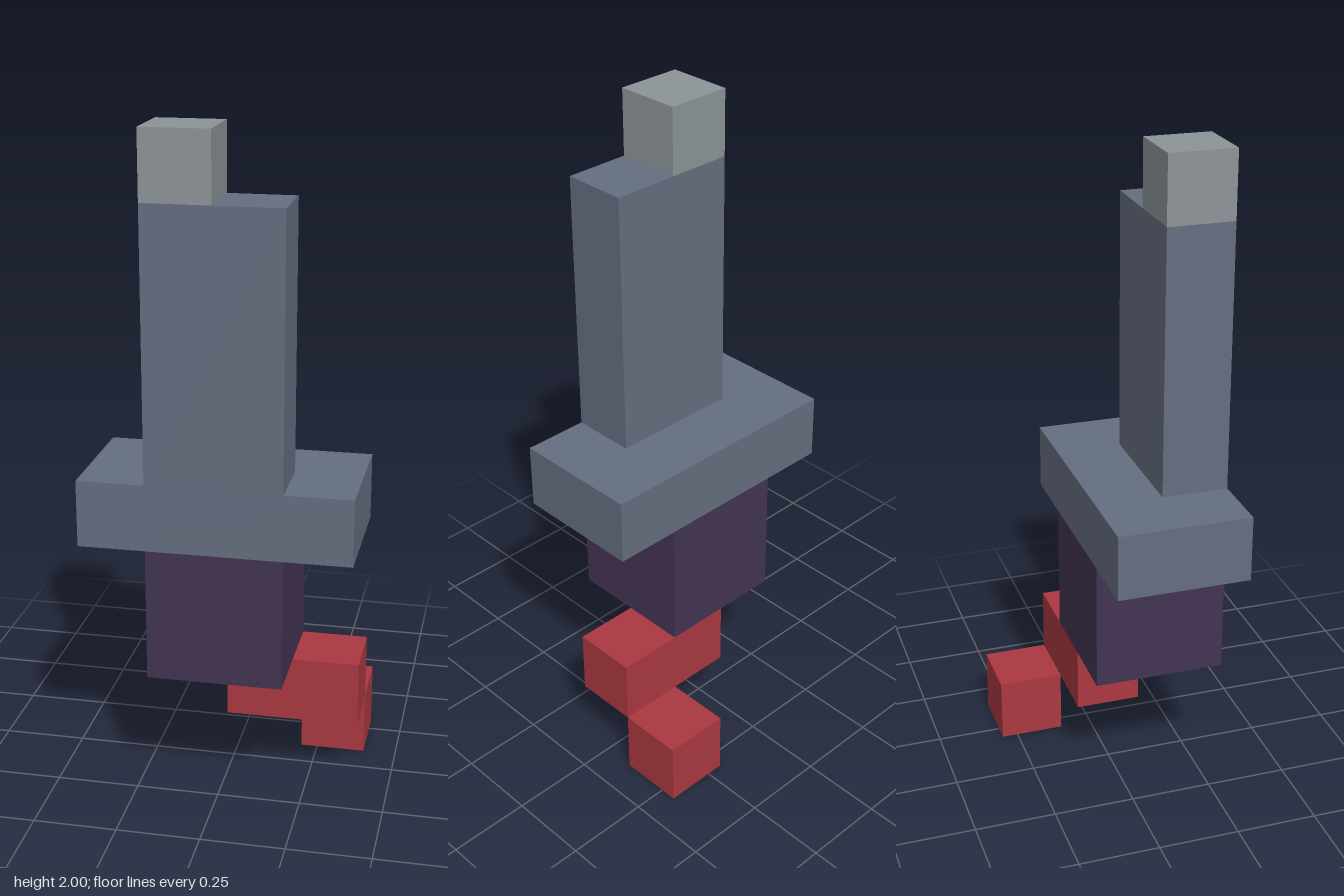
import * as THREE from 'three';

const paint = (name, color) => {
  const m = new THREE.MeshStandardMaterial({ color });
  m.name = name;
  return m;
};

export function createModel() {
  const silver = paint('silver grey', 0x8c9497);
  const slate = paint('slate blue', 0x656e80);
  const purple = paint('dark purple', 0x433452);
  const red = paint('tassel red', 0xaa3840);

  const group = new THREE.Group();
  group.name = 'blockySword';

  // Adds a box spanning two opposite corners
  const block = (name, material, [x0, y0, z0], [x1, y1, z1]) => {
    const mesh = new THREE.Mesh(new THREE.BoxGeometry(x1 - x0, y1 - y0, z1 - z0), material);
    mesh.position.set((x0 + x1) / 2, (y0 + y1) / 2, (z0 + z1) / 2);
    mesh.name = name;
    group.add(mesh);
  };

  // Blade and its offset tip
  block('bladeTip', silver, [-0.2, 1.8, 0.1], [0, 2, 0.3]);
  block('blade', slate, [-0.2, 1, 0.1], [0.2, 1.8, 0.3]);

  // Crossguard, with a purple underside
  block('guard', [slate, slate, slate, purple, slate, slate], [-0.4, 0.8, -0.1], [0.4, 1, 0.3]);

  // Grip
  block('grip', purple, [-0.2, 0.4, -0.1], [0.2, 0.8, 0.3]);

  // Tassel stepping down and back
  block('tasselUpper', red, [0, 0.2, -0.1], [0.4, 0.4, 0.1]);
  block('tasselEnd', red, [0.2, 0, -0.3], [0.4, 0.2, -0.1]);

  return group;
}
